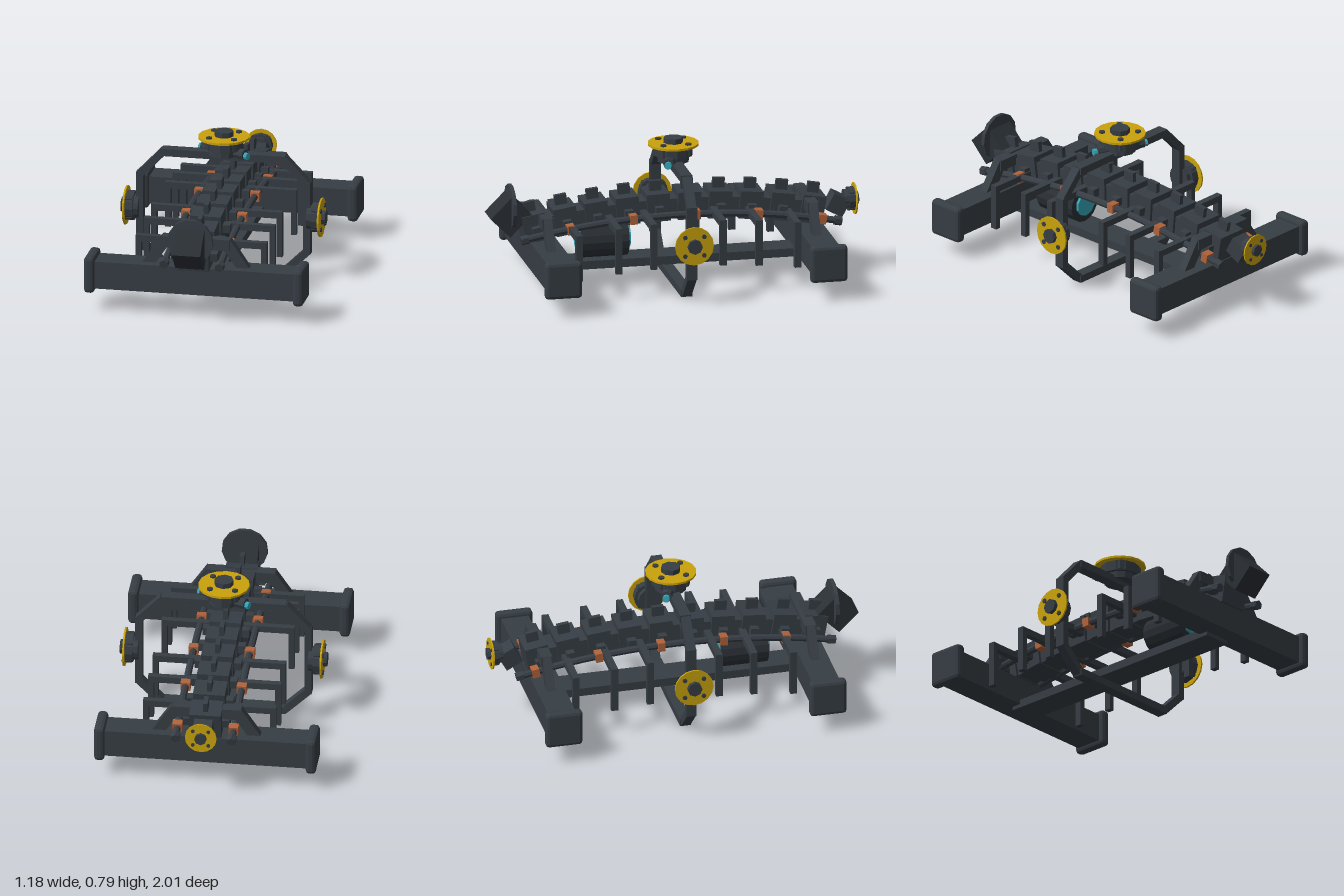
import * as THREE from 'three';
import { RoundedBoxGeometry } from 'three/addons/geometries/RoundedBoxGeometry.js';

const mat = (name, color) => {
  const m = new THREE.MeshStandardMaterial({ color, flatShading: true });
  m.name = name;
  return m;
};

export function createModel() {
  const model = new THREE.Group();
  model.name = 'spineFrame';
  const steel = mat('dark steel', 0x363d44);
  const black = mat('black steel', 0x2a2f34);
  const yellow = mat('valve yellow', 0xc9a20c);
  const copper = mat('copper', 0xb0623a);
  const cyan = mat('cyan', 0x35a3b5);

  const add = (name, geo, m, x, y, z, parent = model) => {
    const mesh = new THREE.Mesh(geo, m);
    mesh.name = name;
    mesh.position.set(x, y, z);
    parent.add(mesh);
    return mesh;
  };
  const box = (name, m, w, h, d, x, y, z, parent) =>
    add(name, new THREE.BoxGeometry(w, h, d), m, x, y, z, parent);
  const cyl = (name, m, r, h, n, x, y, z, parent) =>
    add(name, new THREE.CylinderGeometry(r, r, h, n), m, x, y, z, parent);
  // square bar between two points in a plane of constant z
  const bar = (name, x1, y1, x2, y2, z, t, depth) => {
    const b = box(name, steel, Math.hypot(x2 - x1, y2 - y1), t, depth, (x1 + x2) / 2, (y1 + y2) / 2, z);
    b.rotation.z = Math.atan2(y2 - y1, x2 - x1);
  };
  const arch = (base, z) => base - 0.12 * z * z;
  const tilt = (z) => Math.atan(0.24 * z);

  // Spine of arched vertebrae with collars between them
  for (let i = 0; i < 10; i++) {
    const z = 0.775 - i * 0.1672;
    const v = new THREE.Group();
    v.name = 'vertebra';
    v.position.set(0, arch(0.43, z), z);
    v.rotation.x = tilt(z);
    model.add(v);
    box('vertebraBody', steel, 0.17, 0.15, 0.125, 0, 0, 0, v);
    box('spinousProcess', steel, 0.025, 0.09, 0.065, 0, 0.085, 0, v);
    box('transverseProcess', steel, 0.25, 0.045, 0.045, 0, -0.01, 0, v);
    if (i < 9) box('disc', steel, 0.14, 0.11, 0.06, 0, -0.015, -0.085, v);
  }

  // Arched side hoses and copper clamps
  for (const s of [-1, 1]) {
    const pts = [];
    for (let k = 0; k <= 10; k++) {
      const z = -0.85 + k * 0.17;
      pts.push(new THREE.Vector3(s * 0.15, arch(0.405, z), z));
    }
    const curve = new THREE.CatmullRomCurve3(pts);
    add('sideHose', new THREE.TubeGeometry(curve, 20, 0.019, 8), steel, 0, 0, 0);
    for (const z of [-0.85, 0.85]) {
      const end = cyl('hoseEnd', steel, 0.026, 0.04, 6, s * 0.15, arch(0.405, z), z);
      end.rotation.x = Math.PI / 2 + tilt(z);
    }
    for (const z of [-0.765, -0.42, -0.08, 0.26, 0.6]) {
      const c = box('hoseClamp', copper, 0.052, 0.05, 0.04, s * 0.15, arch(0.405, z), z);
      c.rotation.x = tilt(z);
    }
  }

  // Ribs with drop legs
  for (const z of [-0.59, -0.38, -0.185, 0.19, 0.38, 0.595]) {
    const top = arch(0.425, z);
    box('ribBar', steel, 0.71, 0.035, 0.036, 0, top - 0.018, z);
    for (const s of [-1, 1])
      box('ribLeg', steel, 0.03, 0.25, 0.036, s * 0.34, top - 0.125, z);
  }

  // Feet, end caps and shoulder struts
  for (const z of [0.73, -0.71]) {
    box('footBeam', steel, 1.1, 0.15, 0.15, 0, 0.208, z);
    box('shoulder', steel, 0.37, 0.06, 0.06, 0, 0.405, z);
    for (const s of [-1, 1]) {
      add('footCap', new RoundedBoxGeometry(0.055, 0.2, 0.2, 1, 0.018), steel, s * 0.565, 0.21, z);
      bar('shoulderStrut', s * 0.16, 0.42, s * 0.265, 0.265, z, 0.06, 0.045);
    }
  }
  box('keelRail', steel, 0.16, 0.045, 1.4, 0, 0.135, 0.01);

  // Octagonal ring frame
  const rz = 0.01;
  box('ringTop', steel, 0.67, 0.04, 0.06, 0, 0.655, rz);
  box('ringBottom', steel, 0.67, 0.04, 0.06, 0, 0.025, rz);
  for (const s of [-1, 1]) {
    box('ringSide', steel, 0.038, 0.4, 0.055, s * 0.452, 0.335, rz);
    bar('ringUpperCorner', s * 0.325, 0.657, s * 0.455, 0.52, rz, 0.04, 0.05);
    bar('ringLowerCorner', s * 0.325, 0.023, s * 0.455, 0.15, rz, 0.04, 0.05);
  }

  // Flanged valves: r is the plate radius, plate faces local +y
  const valve = (name, r, x, y, z, rx, rz2) => {
    const g = new THREE.Group();
    g.name = name;
    g.position.set(x, y, z);
    g.rotation.set(rx, 0, rz2);
    g.scale.setScalar(r / 0.137);
    model.add(g);
    cyl('valveBase', steel, 0.085, 0.04, 12, 0, -0.075, 0, g);
    cyl('valveHousing', steel, 0.105, 0.055, 12, 0, -0.033, 0, g);
    cyl('valvePlate', yellow, 0.137, 0.012, 16, 0, 0, 0, g);
    cyl('valveHub', steel, 0.052, 0.032, 8, 0, 0.018, 0, g);
    for (let k = 0; k < 4; k++) {
      const a = Math.PI / 4 + k * Math.PI / 2;
      cyl('valveBolt', steel, 0.017, 0.07, 6, 0.095 * Math.cos(a), -0.02, 0.095 * Math.sin(a), g);
    }
  };
  valve('topValve', 0.137, 0, 0.756, rz, 0, 0);
  valve('leftValve', 0.105, 0.527, 0.34, rz, 0, -Math.PI / 2);
  valve('rightValve', 0.105, -0.527, 0.34, rz, 0, Math.PI / 2);
  valve('tailValve', 0.085, 0, 0.39, -0.972, -Math.PI / 2, 0);

  // Cross drum beneath the top valve
  const cross = new THREE.Group();
  cross.name = 'crossDrum';
  cross.position.set(0, 0.68, rz);
  cross.rotation.y = -0.4;
  model.add(cross);
  cyl('crossDrumBody', steel, 0.03, 0.27, 8, 0, 0, 0, cross).rotation.z = Math.PI / 2;
  cyl('crossDrumCaps', cyan, 0.02, 0.31, 8, 0, -0.006, 0, cross).rotation.z = Math.PI / 2;

  // Slung tank with cyan caps
  cyl('tank', black, 0.1, 0.255, 16, 0, 0.26, 0.395).rotation.x = Math.PI / 2;
  cyl('tankCaps', cyan, 0.066, 0.285, 10, 0, 0.265, 0.395).rotation.x = Math.PI / 2;

  // Head block turned on edge, with its round back plate
  box('headBlock', black, 0.155, 0.15, 0.165, 0, 0.425, 0.905).rotation.x = Math.PI / 4;
  cyl('headPlate', steel, 0.124, 0.02, 13, 0, 0.46, 0.893).rotation.x = Math.PI / 2;

  // Tail block
  box('tailBlock', steel, 0.1, 0.1, 0.1, 0, 0.37, -0.875).rotation.x = -0.5;
  return model;
}
